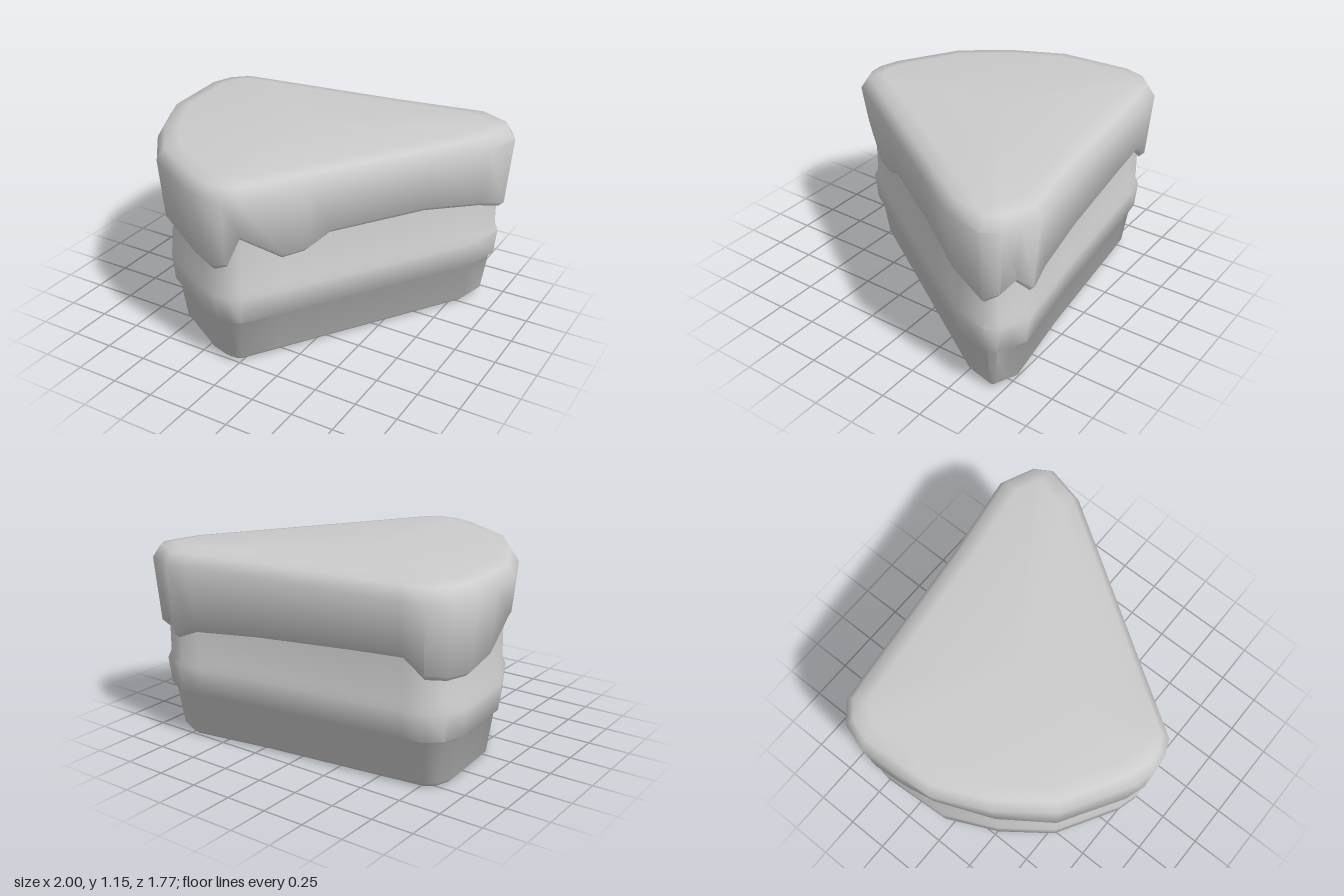
import * as THREE from 'three';
import { toCreasedNormals } from 'three/addons/utils/BufferGeometryUtils.js';

// Slice outline as [x, z, height of the icing's lower edge]
const OUTLINE = [
  [-0.84, -0.68, 0.65], [-0.70, -0.70, 0.75], [-0.40, -0.735, 0.74], [0.20, -0.805, 0.71],
  [0.60, -0.868, 0.68], [0.74, -0.89, 0.63], [0.84, -0.845, 0.72], [0.94, -0.80, 0.66],
  [1.00, -0.70, 0.62], [0.94, -0.46, 0.70], [0.73, -0.14, 0.75], [0.395, 0.367, 0.75],
  [0.31, 0.496, 0.67], [0.235, 0.61, 0.66], [0.09, 0.83, 0.83], [0.00, 0.87, 0.66],
  [-0.10, 0.88, 0.625], [-0.24, 0.84, 0.66], [-0.61, 0.62, 0.69], [-0.82, 0.34, 0.74],
  [-0.97, 0.02, 0.82], [-0.985, -0.20, 0.67], [-1.00, -0.43, 0.64], [-0.95, -0.58, 0.64],
];
const N = OUTLINE.length;

// Mitred outward direction at each outline corner
const DIRECTIONS = OUTLINE.map(([x, z], i) => {
  const [px, pz] = OUTLINE[(i + N - 1) % N];
  const [nx, nz] = OUTLINE[(i + 1) % N];
  const a = new THREE.Vector2(z - pz, px - x).normalize();
  const b = new THREE.Vector2(nz - z, x - nx).normalize();
  const m = a.clone().add(b).normalize();
  return m.divideScalar(m.dot(a));
});

// Lofts rings of [inset, height or height function], listed from low to high
function loft(rings, capBottom) {
  const positions = [];
  const index = [];
  for (const [inset, height] of rings) {
    OUTLINE.forEach(([x, z, drip], i) => {
      const y = typeof height === 'function' ? height(drip) : height;
      positions.push(x - DIRECTIONS[i].x * inset, y, z - DIRECTIONS[i].y * inset);
    });
  }
  const top = (rings.length - 1) * N;
  const centre = rings.length * N;
  positions.push(-0.1, rings[rings.length - 1][1], -0.1);
  if (capBottom) positions.push(-0.1, rings[0][1], -0.1);
  for (let i = 0; i < N; i++) {
    const j = (i + 1) % N;
    for (let r = 0; r < rings.length - 1; r++) {
      const a = r * N;
      const b = a + N;
      index.push(a + i, b + i, b + j, a + i, b + j, a + j);
    }
    index.push(centre, top + j, top + i);
    if (capBottom) index.push(centre + 1, i, j);
  }
  const geometry = new THREE.BufferGeometry();
  geometry.setAttribute('position', new THREE.Float32BufferAttribute(positions, 3));
  geometry.setIndex(index);
  return toCreasedNormals(geometry, 0.9);
}

export function createModel() {
  const group = new THREE.Group();
  group.name = 'cakeSlice';
  const grey = new THREE.MeshStandardMaterial({ color: 0xcccccc });
  grey.name = 'light grey';

  const add = (name, geometry) => {
    const mesh = new THREE.Mesh(geometry, grey);
    mesh.name = name;
    group.add(mesh);
  };

  // Tapered sponge with a raised filling band around the middle
  add('sponge', loft([
    [0.155, 0], [0.125, 0.03], [0.09, 0.275], [0.065, 0.295],
    [0.05, 0.455], [0.07, 0.50], [0.075, 0.95],
  ], true));

  // Thick icing with a rounded top edge and an uneven dripping rim
  add('icing', loft([
    [0.085, (d) => d + 0.025], [0.06, (d) => d], [0.03, (d) => d + 0.03],
    [0, 1.07], [0.045, 1.14], [0.13, 1.155],
  ], false));

  return group;
}
